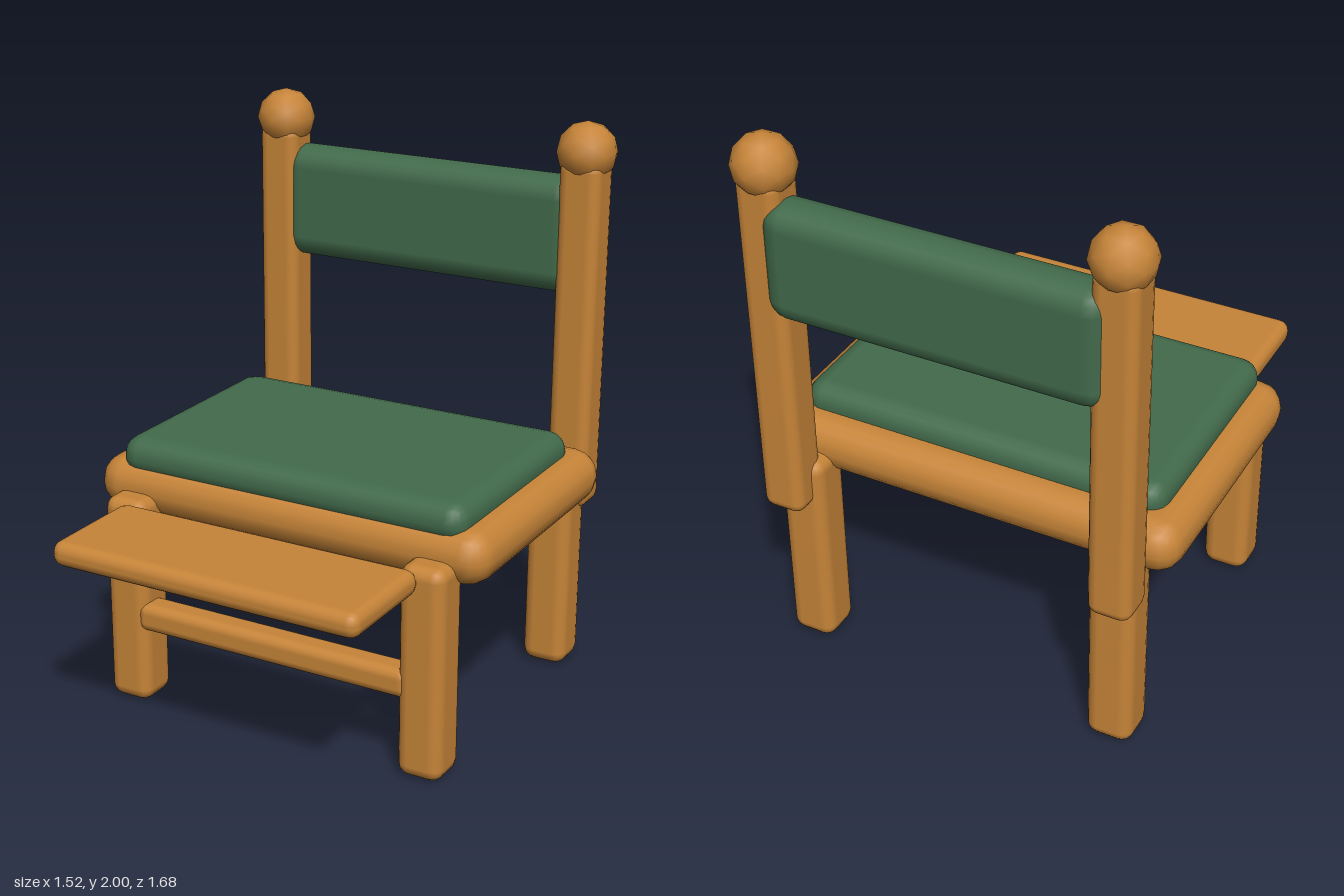
import * as THREE from 'three';
import { RoundedBoxGeometry } from 'three/addons/geometries/RoundedBoxGeometry.js';

export function createModel() {
  const model = new THREE.Group();
  model.name = 'chair';

  const wood = new THREE.MeshStandardMaterial({ color: 0xc68438 });
  wood.name = 'wood';
  const fabric = new THREE.MeshStandardMaterial({ color: 0x426a4b });
  fabric.name = 'green fabric';

  // Soft-edged block given by its extents on each axis
  function block(name, material, [x0, x1], [y0, y1], [z0, z1], radius) {
    const geometry = new RoundedBoxGeometry(x1 - x0, y1 - y0, z1 - z0, 2, radius);
    const mesh = new THREE.Mesh(geometry, material);
    mesh.position.set((x0 + x1) / 2, (y0 + y1) / 2, (z0 + z1) / 2);
    mesh.name = name;
    model.add(mesh);
  }

  // Seat and its cushion
  block('seat', wood, [-0.76, 0.76], [0.67, 0.865], [-0.65, 0.342], 0.095);
  block('seatCushion', fabric, [-0.67, 0.67], [0.8, 0.945], [-0.55, 0.315], 0.07);

  // Padded backrest between the posts
  block('backrest', fabric, [-0.595, 0.595], [1.38, 1.8], [-0.83, -0.66], 0.08);

  // Footrest and the stretcher below it
  block('footrest', wood, [-0.577, 0.577], [0.675, 0.765], [0.42, 0.84], 0.04);
  block('stretcher', wood, [-0.535, 0.535], [0.28, 0.385], [0.32, 0.428], 0.035);

  // Legs, back posts and ball finials on both sides
  for (const [side, s] of [['left', 1], ['right', -1]]) {
    const span = (a, b) => (s > 0 ? [a, b] : [-b, -a]);
    block(side + 'FrontLeg', wood, span(0.495, 0.66), [0, 0.765], [0.265, 0.43], 0.045);
    block(side + 'BackLeg', wood, span(0.495, 0.66), [0, 0.765], [-0.73, -0.565], 0.045);
    block(side + 'BackPost', wood, span(0.527, 0.681), [0.597, 1.87], [-0.805, -0.651], 0.04);

    const finial = new THREE.Mesh(new THREE.IcosahedronGeometry(0.107, 1), wood);
    finial.position.set(s * 0.604, 1.893, -0.73);
    finial.name = side + 'Finial';
    model.add(finial);
  }

  return model;
}
